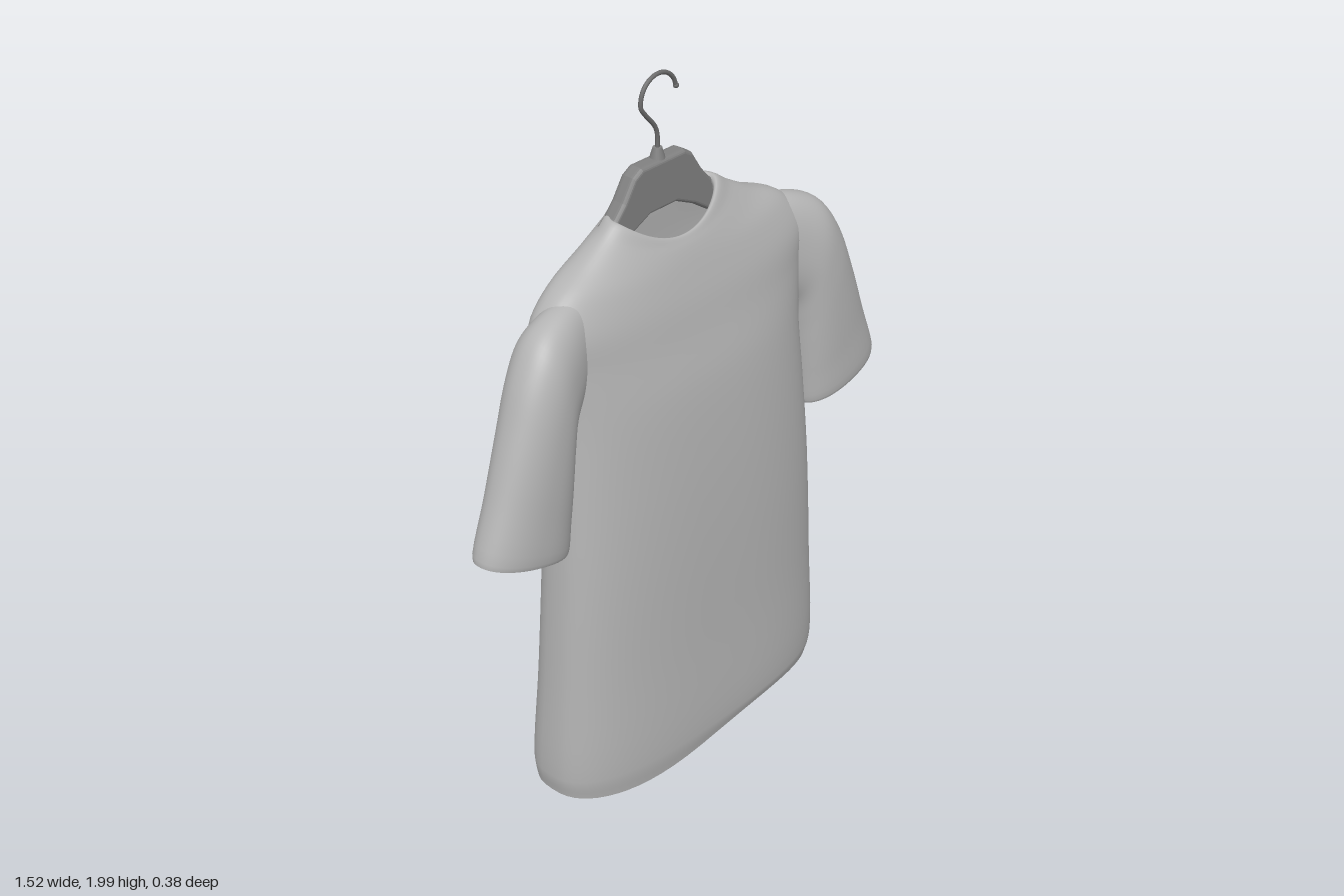
import * as THREE from 'three';

const cloth = new THREE.MeshStandardMaterial({ color: 0xb4b4b4, side: THREE.DoubleSide });
cloth.name = 'grey cloth';
const plastic = new THREE.MeshStandardMaterial({ color: 0x808080 });
plastic.name = 'hanger plastic';
const metal = new THREE.MeshStandardMaterial({ color: 0x6c6c6c });
metal.name = 'hook metal';

const SEG = 64;
const spow = (v, p) => Math.sign(v) * Math.abs(v) ** p;

// Smooth skin through cross-sections; sectionAt(params, angle) gives a point.
function loft(sections, steps, sectionAt) {
  const rows = (sections.length - 1) * steps + 1;
  const pos = [], index = [];
  const columns = [];
  for (let j = 0; j < SEG; j++) {
    const a = (j / SEG) * Math.PI * 2;
    columns.push(new THREE.CatmullRomCurve3(sections.map((s, i) => sectionAt(s, a, i)), false, 'centripetal'));
  }
  for (let i = 0; i < rows; i++) {
    for (let j = 0; j < SEG; j++) {
      const p = columns[j].getPoint(i / (rows - 1));
      pos.push(p.x, p.y, p.z);
      if (i === rows - 1) continue;
      const k = (j + 1) % SEG;
      const a = i * SEG + j, b = i * SEG + k, c = a + SEG, d = b + SEG;
      index.push(a, c, b, b, c, d);
    }
  }
  const g = new THREE.BufferGeometry();
  g.setAttribute('position', new THREE.Float32BufferAttribute(pos, 3));
  g.setIndex(index);
  g.computeVertexNormals();
  return g;
}

function add(group, name, geometry, material) {
  const m = new THREE.Mesh(geometry, material);
  m.name = name;
  group.add(m);
  return m;
}

// Torso ring: side y, front y, back y, right x, left x, front z, back z, squareness
const torsoRings = [
  [0.025, 0.025, 0.035, -0.495, 0.515, 0.178, -0.183, 2.6],
  [0.08, 0.08, 0.08, -0.505, 0.527, 0.188, -0.188, 2.6],
  [0.4, 0.4, 0.4, -0.492, 0.503, 0.186, -0.163, 2.6],
  [0.75, 0.75, 0.75, -0.474, 0.475, 0.182, -0.147, 2.6],
  [1.0, 1.0, 1.0, -0.46, 0.452, 0.17, -0.14, 2.6],
  [1.2, 1.2, 1.2, -0.452, 0.437, 0.15, -0.134, 2.7],
  [1.36, 1.33, 1.36, -0.465, 0.455, 0.123, -0.128, 2.8],
  [1.46, 1.42, 1.47, -0.48, 0.475, 0.105, -0.125, 2.8],
  [1.535, 1.49, 1.55, -0.42, 0.415, 0.086, -0.121, 2.5],
  [1.585, 1.54, 1.61, -0.32, 0.305, 0.07, -0.118, 2.2],
  [1.63, 1.568, 1.655, -0.24, 0.225, 0.058, -0.112, 2],
  [1.662, 1.584, 1.682, -0.195, 0.175, 0.047, -0.102, 2],
  [1.652, 1.576, 1.674, -0.184, 0.164, 0.038, -0.094, 2],
  [1.625, 1.55, 1.65, -0.188, 0.168, 0.042, -0.098, 2],
];

function torsoPoint([ySide, yFront, yBack, x0, x1, zF, zB, n], a, i) {
  const c = Math.cos(a), s = Math.sin(a);
  const x = (x0 + x1) / 2 + ((x1 - x0) / 2) * spow(c, 2 / n);
  const z = (zF + zB) / 2 + ((zF - zB) / 2) * spow(s, 2 / n);
  let y = ySide + ((s > 0 ? yFront : yBack) - ySide) * s * s;
  if (i === 0) y += 0.02 * Math.sin((x + 0.05) * Math.PI * 2); // wavy hem
  return new THREE.Vector3(x, y, z);
}

// Sleeve ring: upper x, y, lower x, y, middle z, half depth
const sleeveRings = [
  [0.36, 1.535, 0.36, 1.28, -0.01, 0.06],
  [0.45, 1.522, 0.4, 1.24, 0.0, 0.08],
  [0.53, 1.485, 0.435, 1.2, 0.012, 0.092],
  [0.59, 1.405, 0.448, 1.13, 0.022, 0.092],
  [0.645, 1.275, 0.456, 1.05, 0.03, 0.088],
  [0.705, 1.11, 0.466, 0.95, 0.035, 0.083],
  [0.762, 0.945, 0.478, 0.862, 0.038, 0.076],
  [0.752, 0.945, 0.486, 0.868, 0.038, 0.068],
];

function sleevePoint(side) {
  return ([ux, uy, lx, ly, z, d], a) => {
    const c = spow(Math.cos(a), 0.9), s = spow(Math.sin(a), 0.9);
    return new THREE.Vector3(
      side * ((ux + lx) / 2 + ((ux - lx) / 2) * c),
      (uy + ly) / 2 + ((uy - ly) / 2) * c,
      z + (side < 0 ? 0.012 : 0) - side * d * s);
  };
}

export function createModel() {
  const model = new THREE.Group();
  model.name = 'shirtOnHanger';

  // Shirt
  const shirt = new THREE.Group();
  shirt.name = 'shirt';
  model.add(shirt);
  add(shirt, 'torso', loft(torsoRings, 5, torsoPoint), cloth);
  add(shirt, 'leftSleeve', loft(sleeveRings, 5, sleevePoint(1)), cloth);
  add(shirt, 'rightSleeve', loft(sleeveRings, 5, sleevePoint(-1)), cloth);

  // Hanger body with arms running inside the shoulders
  const hanger = new THREE.Group();
  hanger.name = 'hanger';
  hanger.position.set(-0.014, 0, -0.045);
  model.add(hanger);
  const half = [[0.075, 1.76], [0.1, 1.745], [0.135, 1.69], [0.165, 1.655], [0.25, 1.585], [0.38, 1.51],
    [0.38, 1.475], [0.24, 1.53], [0.12, 1.61], [0.05, 1.643]];
  const outline = [...half, ...half.map(([x, y]) => [-x, y]).reverse()];
  const body = new THREE.ExtrudeGeometry(new THREE.Shape(outline.map(([x, y]) => new THREE.Vector2(x, y))),
    { depth: 0.02, bevelThickness: 0.015, bevelSize: 0.01, bevelSegments: 4 });
  body.translate(0, 0, -0.01);
  add(hanger, 'hangerBody', body, plastic);
  add(hanger, 'hookSocket', new THREE.CylinderGeometry(0.012, 0.022, 0.035, 20), plastic).position.y = 1.78;

  // Wire hook
  const path = [[0, 1.78], [0, 1.83], [-0.008, 1.855], [-0.045, 1.9]];
  for (let d = 190; d >= 10; d -= 20) {
    const a = (d * Math.PI) / 180;
    path.push([0.005 + 0.064 * Math.cos(a), 1.93 + 0.064 * Math.sin(a)]);
  }
  const curve = new THREE.CatmullRomCurve3(path.map(([x, y]) => new THREE.Vector3(x, y, 0)));
  add(hanger, 'hook', new THREE.TubeGeometry(curve, 70, 0.006, 10), metal);
  add(hanger, 'hookTip', new THREE.SphereGeometry(0.008, 12, 8), metal).position.set(0.068, 1.942, 0);
  return model;
}
